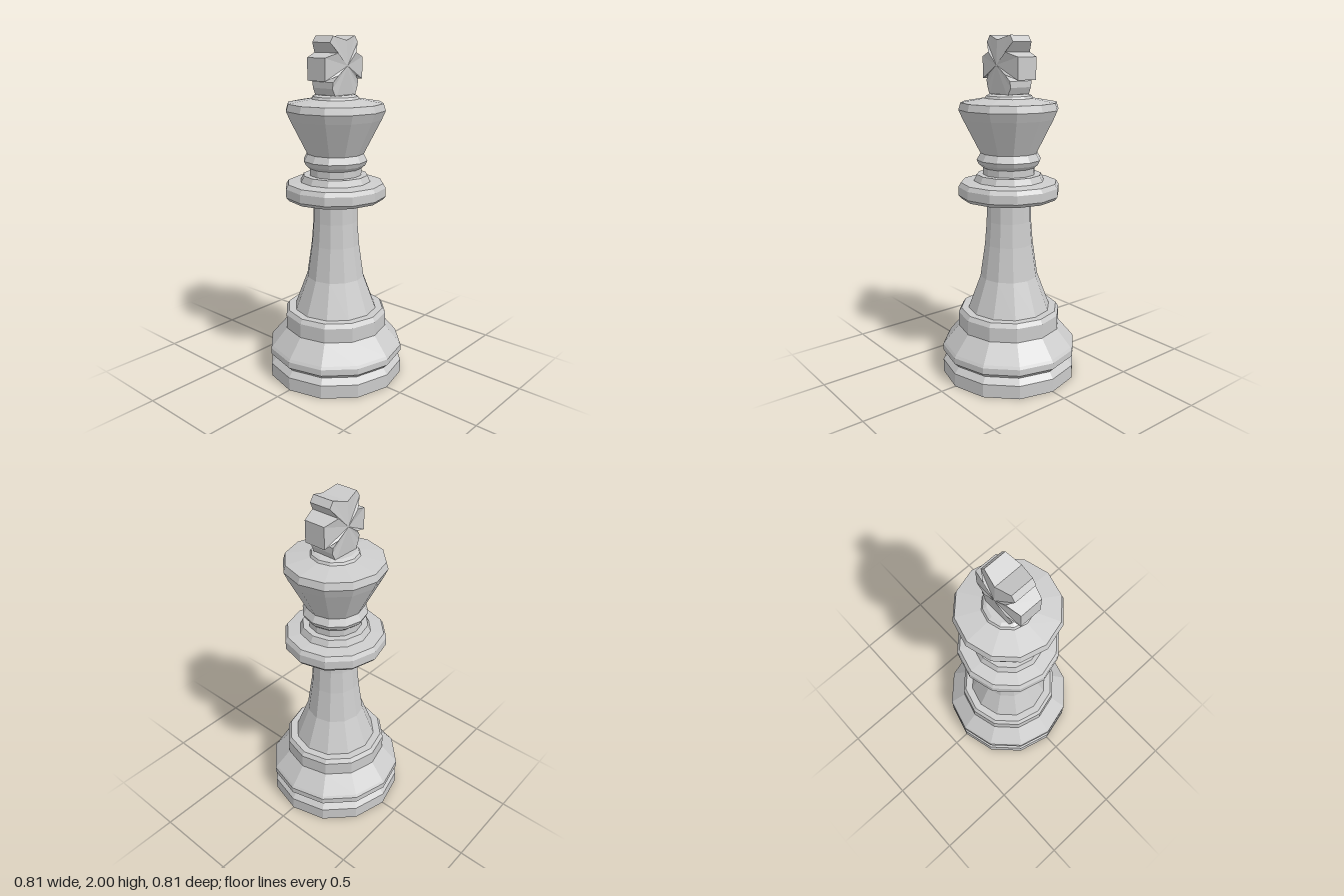
import * as THREE from 'three';

const material = new THREE.MeshStandardMaterial({ color: 0xcccccc, flatShading: true });
const SIDES = 12;

// Faceted turned part from [radius, height] pairs, bottom to top
function turned(name, profile) {
  const points = profile.map(([r, y]) => new THREE.Vector2(r, y));
  const mesh = new THREE.Mesh(new THREE.LatheGeometry(points, SIDES), material);
  mesh.name = name;
  return mesh;
}

// Cross finial: a mirrored outline in the z-y plane, thinner at the tips
function crossFinial() {
  // [z, y, half thickness], from top centre down one side
  const half = [
    [0, 1.975, 0.083], [0.09, 2.0, 0.065], [0.115, 1.965, 0.065], [0.075, 1.91, 0.088],
    [0.157, 1.885, 0.065], [0.157, 1.762, 0.065], [0.075, 1.79, 0.088],
    [0.105, 1.755, 0.078], [0.105, 1.72, 0.072], [0.08, 1.67, 0.075],
  ];
  const outline = [...half, ...half.slice(1).reverse().map(([z, y, w]) => [-z, y, w])];
  const centre = [0, 1.84, 0.09];
  const corner = ([z, y, w], side) => [w * side, y, z];
  const positions = [];
  const tri = (...corners) => corners.forEach((c) => positions.push(...c));
  outline.forEach((a, i) => {
    const b = outline[(i + 1) % outline.length];
    tri(corner(centre, 1), corner(a, 1), corner(b, 1));
    tri(corner(centre, -1), corner(b, -1), corner(a, -1));
    tri(corner(b, 1), corner(a, 1), corner(a, -1));
    tri(corner(b, 1), corner(a, -1), corner(b, -1));
  });
  const geometry = new THREE.BufferGeometry();
  geometry.setAttribute('position', new THREE.Float32BufferAttribute(positions, 3));
  geometry.computeVertexNormals();
  const mesh = new THREE.Mesh(geometry, material);
  mesh.name = 'crossFinial';
  return mesh;
}

export function createModel() {
  const model = new THREE.Group();
  model.name = 'chessKing';
  model.add(
    // Grooved foot and stepped shoulder
    turned('base', [
      [0, 0], [0.405, 0], [0.405, 0.08], [0.375, 0.115], [0.405, 0.143], [0.405, 0.18],
      [0.395, 0.195], [0.307, 0.3], [0.307, 0.385], [0.29, 0.41], [0, 0.41],
    ]),
    // Flared column
    turned('stem', [[0.25, 0.4], [0.172, 0.61], [0.143, 0.81], [0.132, 0.95], [0.13, 1.1]]),
    // Wide collar with a step on top
    turned('collar', [
      [0, 1.085], [0.278, 1.085], [0.295, 1.105], [0.295, 1.155], [0.28, 1.18],
      [0.205, 1.188], [0.188, 1.225], [0, 1.228],
    ]),
    // Neck with bead
    turned('neck', [
      [0.152, 1.22], [0.152, 1.265], [0.175, 1.285], [0.187, 1.31], [0.165, 1.35], [0, 1.35],
    ]),
    // Flared head with bevelled rim
    turned('head', [
      [0, 1.345], [0.163, 1.345], [0.265, 1.545], [0.287, 1.595], [0.275, 1.635],
      [0.14, 1.658], [0, 1.658],
    ]),
    // Small disc under the cross
    turned('cap', [[0.142, 1.65], [0.13, 1.672], [0.11, 1.682], [0, 1.682]]),
    crossFinial(),
  );
  return model;
}
